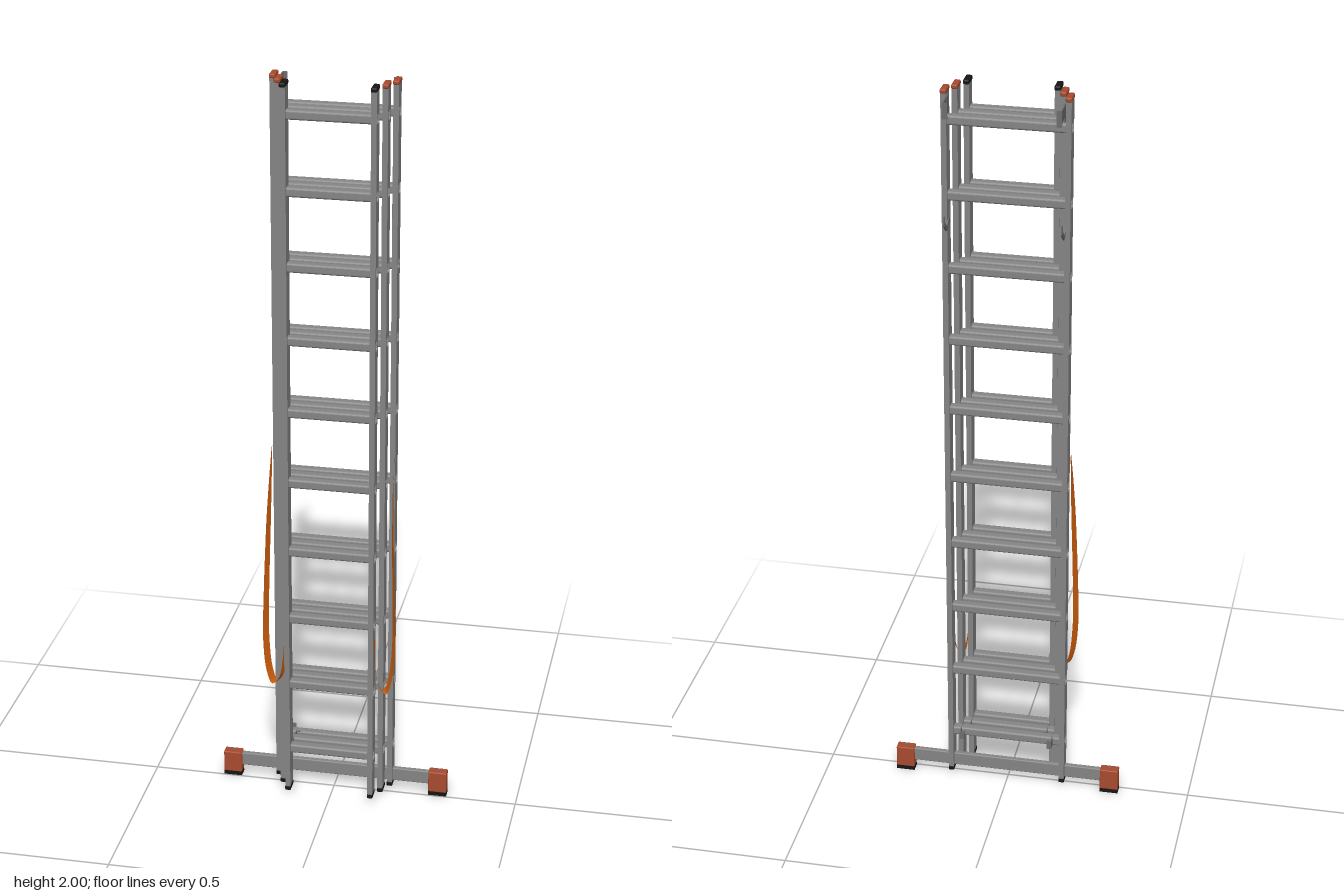
import * as THREE from 'three';
import { RoundedBoxGeometry } from 'three/addons/geometries/RoundedBoxGeometry.js';

const mat = (name, color, side = THREE.FrontSide) => {
  const m = new THREE.MeshStandardMaterial({ color, side });
  m.name = name;
  return m;
};

export function createModel() {
  const aluminium = mat('aluminium', 0x858585);
  const steel = mat('steel', 0x6e6e6e);
  const redPlastic = mat('red plastic', 0xa84a2e);
  const rubber = mat('black rubber', 0x151515);
  const webbing = mat('orange webbing', 0xd2600f, THREE.DoubleSide);

  const model = new THREE.Group();
  model.name = 'extensionLadder';

  const add = (parent, name, geometry, material, x = 0, y = 0, z = 0) => {
    const mesh = new THREE.Mesh(geometry, material);
    mesh.name = name;
    mesh.position.set(x, y, z);
    parent.add(mesh);
    return mesh;
  };
  const box = (w, h, d) => new THREE.BoxGeometry(w, h, d);

  // Rounded rectangle outline centred on (cx, cy)
  const roundRect = (target, w, h, r, cx = 0, cy = 0) => {
    const a = w / 2, b = h / 2, q = Math.PI / 2;
    target.moveTo(cx + a, cy - b + r);
    target.absarc(cx + a - r, cy + b - r, r, 0, q);
    target.absarc(cx - a + r, cy + b - r, r, q, 2 * q);
    target.absarc(cx - a + r, cy - b + r, r, 2 * q, 3 * q);
    target.absarc(cx + a - r, cy - b + r, r, 3 * q, 4 * q);
    return target;
  };
  // Extrude a (z, y) outline along x, centred on x = 0
  const extrudeX = (shape, length) => new THREE.ExtrudeGeometry(shape, {
    depth: length, bevelEnabled: false, curveSegments: 4,
  }).translate(0, 0, -length / 2).rotateY(-Math.PI / 2);

  const rungHeights = Array.from({ length: 10 }, (_, i) => 0.145 + i * 0.197);
  const RAIL_W = 0.014, RAIL_D = 0.037, BOTTOM = 0.026, TOP = 1.994;

  // Rail with an opening at every rung
  const railShape = new THREE.Shape();
  railShape.moveTo(-RAIL_D / 2, BOTTOM);
  railShape.lineTo(RAIL_D / 2, BOTTOM);
  railShape.lineTo(RAIL_D / 2, TOP);
  railShape.lineTo(-RAIL_D / 2, TOP);
  for (const y of rungHeights) {
    railShape.holes.push(roundRect(new THREE.Path(), 0.023, 0.023, 0.004, 0, y));
  }
  const railGeometry = extrudeX(railShape, RAIL_W);

  // Hollow rung tube
  const rungShape = roundRect(new THREE.Shape(), 0.025, 0.025, 0.006);
  rungShape.holes.push(roundRect(new THREE.Path(), 0.022, 0.022, 0.004));

  const capGeometry = new RoundedBoxGeometry(0.0165, 0.012, 0.043, 2, 0.004);
  const footGeometry = new RoundedBoxGeometry(0.0155, 0.014, 0.039, 2, 0.003);

  // Three nested ladder sections, from back to front
  const sections = [
    { name: 'backSection', x: 0.154, z: -0.016, cap: redPlastic },
    { name: 'middleSection', x: 0.134, z: 0.021, cap: redPlastic },
    { name: 'frontSection', x: 0.113, z: 0.059, cap: rubber },
  ];
  for (const s of sections) {
    const group = new THREE.Group();
    group.name = s.name;
    group.position.z = s.z;
    model.add(group);
    for (const side of [-1, 1]) {
      add(group, 'rail', railGeometry, aluminium, side * s.x);
      add(group, 'topCap', capGeometry, s.cap, side * s.x, 1.994);
      add(group, 'railFoot', footGeometry, rubber, side * s.x, 0.025);
    }
    const rungGeometry = extrudeX(rungShape, 2 * s.x + RAIL_W + 0.002);
    for (const y of rungHeights) add(group, 'rung', rungGeometry, aluminium, 0, y);
  }

  // Stabiliser bar with end feet
  const stabiliser = new THREE.Group();
  stabiliser.name = 'stabiliser';
  stabiliser.position.z = -0.016;
  model.add(stabiliser);
  add(stabiliser, 'bar', new RoundedBoxGeometry(0.56, 0.038, 0.014, 2, 0.003), aluminium, 0, 0.049);
  for (const side of [-1, 1]) {
    add(stabiliser, 'endShoe', new RoundedBoxGeometry(0.05, 0.061, 0.028, 2, 0.003), redPlastic, side * 0.285, 0.0405);
    add(stabiliser, 'endPad', box(0.05, 0.011, 0.028), rubber, side * 0.285, 0.0055);
    add(stabiliser, 'shoeBolt', new THREE.CylinderGeometry(0.004, 0.004, 0.004, 10), steel, side * 0.285, 0.072);
  }

  // Flat hook outline in (z, y)
  const catchShape = new THREE.Shape([
    [0.02, 0.02], [0.02, -0.012], [0.008, -0.008], [-0.012, -0.022], [-0.02, -0.014],
    [-0.034, -0.004], [-0.036, 0.014], [-0.042, 0.014], [-0.042, -0.01], [-0.022, -0.028],
    [-0.014, -0.034], [0.006, -0.024], [0.026, -0.026], [0.026, 0.02],
  ].map(([z, y]) => new THREE.Vector2(z, y)).reverse());
  const catchGeometry = extrudeX(catchShape, 0.004);

  for (const side of [-1, 1]) {
    // Top hook: side plate, back lip and bent top
    const hook = new THREE.Group();
    hook.name = 'topHook';
    model.add(hook);
    add(hook, 'hookPlate', box(0.003, 0.03, 0.052), steel, side * 0.145, 1.968, -0.056);
    add(hook, 'hookLip', box(0.013, 0.042, 0.003), steel, side * 0.14, 1.962, -0.082);
    add(hook, 'hookBase', box(0.004, 0.045, 0.02), steel, side * 0.145, 1.962, -0.036);

    // Rung catch lower down the back rail
    add(model, 'rungCatch', catchGeometry, steel, side * 0.147, 1.67, -0.033);

    // Guide brackets joining neighbouring sections
    for (const [x, z, y] of [[0.126, -0.024, 0.145], [0.106, 0.015, 0.145]]) {
      const guide = new THREE.Group();
      guide.name = 'guideBracket';
      model.add(guide);
      add(guide, 'guidePlate', box(0.003, 0.025, 0.044), steel, side * x, y, z);
      add(guide, 'guideLip', box(0.013, 0.025, 0.003), steel, side * (x - 0.005), y, z - 0.021);
    }

    // Slack strap: ribbon swept along a curve, its width lying front to back
    const path = new THREE.CatmullRomCurve3([
      [0.162, 1.01, 0.012], [0.162, 0.92, 0.036], [0.165, 0.8, 0.05], [0.171, 0.58, 0.06],
      [0.172, 0.48, 0.062], [0.163, 0.38, 0.063], [0.149, 0.343, 0.063], [0.133, 0.36, 0.062],
      [0.123, 0.42, 0.06], [0.121, 0.5, 0.058],
    ].map(([x, y, z]) => new THREE.Vector3(side * x, y, z)));
    const steps = 60, positions = [], index = [];
    for (let i = 0; i <= steps; i++) {
      const t = i / steps, p = path.getPoint(t);
      const half = 0.011 - 0.007 * Math.max(0, 1 - t * 5);
      const skew = 0.006 * Math.sin(Math.PI * t) * side;
      positions.push(p.x - skew, p.y, p.z - half, p.x + skew, p.y, p.z + half);
      if (i < steps) {
        const a = i * 2;
        index.push(a, a + 1, a + 2, a + 1, a + 3, a + 2);
      }
    }
    const ribbon = new THREE.BufferGeometry();
    ribbon.setAttribute('position', new THREE.Float32BufferAttribute(positions, 3));
    ribbon.setIndex(side > 0 ? index : index.reverse());
    ribbon.computeVertexNormals();
    add(model, 'strap', ribbon, webbing);
  }

  return model;
}
